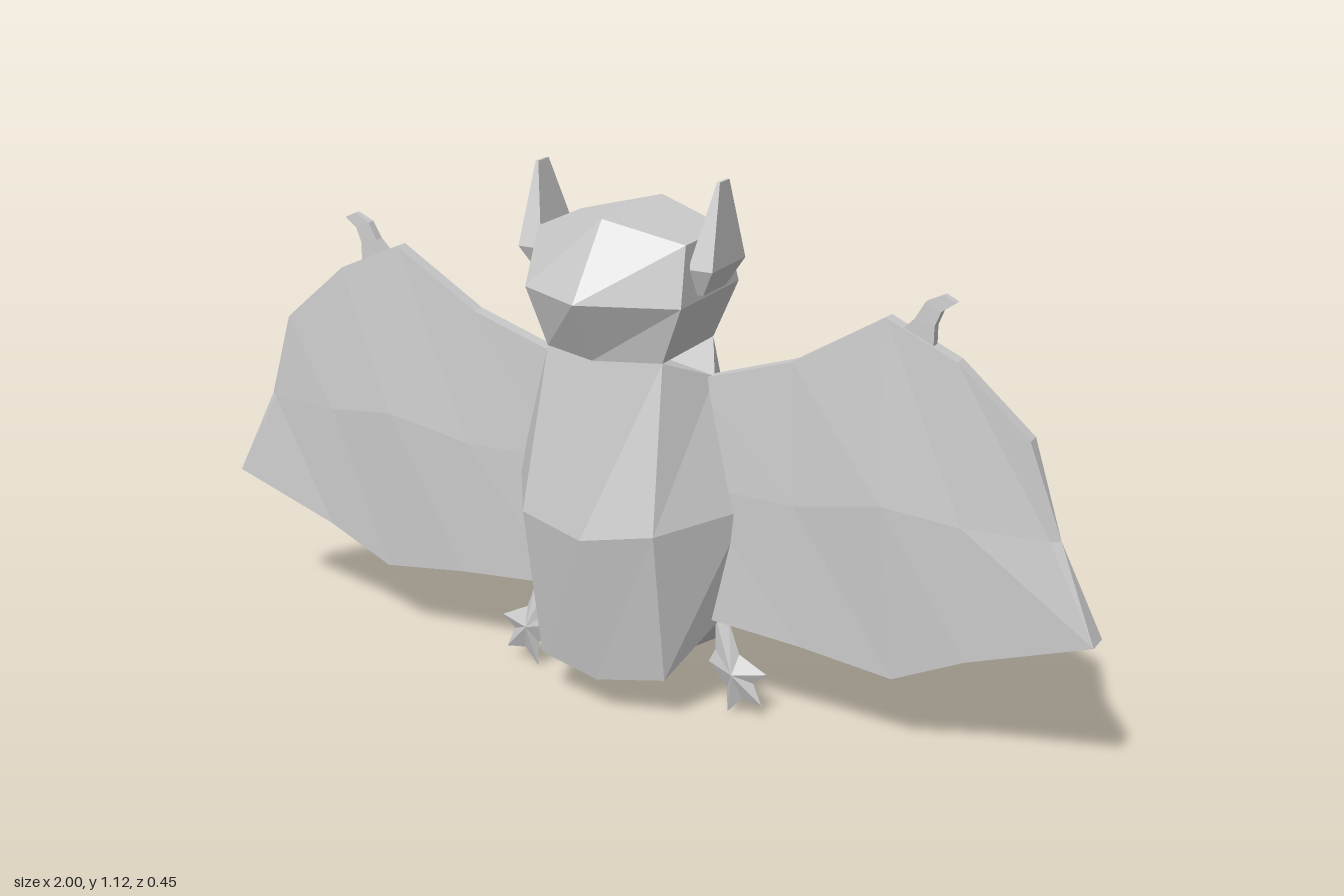
import * as THREE from 'three';

const material = new THREE.MeshStandardMaterial({ color: 0xcccccc, flatShading: true });

// Skins a series of equal-length rings and closes both ends; side -1 mirrors across x.
function loft(name, rings, side = 1) {
  const r = rings.map(ring => {
    const pts = ring.map(([x, y, z]) => new THREE.Vector3(x * side, y, z));
    return side < 0 ? pts.reverse() : pts;
  });
  const out = [];
  const tri = (a, b, c) => {
    const area = b.clone().sub(a).cross(c.clone().sub(a)).length();
    if (area > 1e-8) for (const p of [a, b, c]) out.push(p.x, p.y, p.z);
  };
  const n = r[0].length;
  for (let k = 0; k < r.length - 1; k++) {
    for (let i = 0; i < n; i++) {
      const j = (i + 1) % n;
      tri(r[k][i], r[k][j], r[k + 1][j]);
      tri(r[k][i], r[k + 1][j], r[k + 1][i]);
    }
  }
  for (const [ring, flip] of [[r[0], true], [r[r.length - 1], false]]) {
    const mid = ring.reduce((s, p) => s.add(p), new THREE.Vector3()).divideScalar(n);
    ring.forEach((p, i) => {
      const q = ring[(i + 1) % n];
      flip ? tri(mid, q, p) : tri(mid, p, q);
    });
  }
  const geometry = new THREE.BufferGeometry();
  geometry.setAttribute('position', new THREE.Float32BufferAttribute(out, 3));
  geometry.computeVertexNormals();
  const mesh = new THREE.Mesh(geometry, material);
  mesh.name = name;
  return mesh;
}

// Eight-sided symmetric ring; front and back are [y, z], the others [x, y, z].
function ring8([fy, fz], frontCorner, sidePoint, backCorner, [by, bz]) {
  const half = [frontCorner, sidePoint, backCorner];
  const mirrored = half.map(([x, y, z]) => [-x, y, z]).reverse();
  return [[0, fy, fz], ...half, [0, by, bz], ...mirrored];
}

function createBody() {
  return loft('body', [
    Array(8).fill([0, 0.04, -0.01]),
    ring8([0.085, 0.145], [0.145, 0.105, 0.12], [0.21, 0.21, 0], [0.145, 0.105, -0.13], [0.085, -0.163]),
    ring8([0.415, 0.21], [0.15, 0.44, 0.18], [0.265, 0.46, 0], [0.15, 0.45, -0.197], [0.415, -0.225]),
    ring8([0.775, 0.155], [0.13, 0.775, 0.107], [0.19, 0.73, 0], [0.13, 0.775, -0.11], [0.775, -0.17]),
  ]);
}

function createHead() {
  return loft('head', [
    ring8([0.775, 0.155], [0.13, 0.775, 0.107], [0.13, 0.775, 0], [0.13, 0.775, -0.11], [0.775, -0.17]),
    ring8([0.905, 0.23], [0.175, 0.893, 0.117], [0.175, 0.893, 0], [0.175, 0.893, -0.13], [0.92, -0.198]),
    ring8([1.05, 0.115], [0.165, 1.01, 0.08], [0.165, 1.01, 0], [0.165, 1.01, -0.09], [1.05, -0.13]),
    // roof ridge
    ring8([1.05, 0.11], [0, 1.05, 0.11], [0, 1.05, 0], [0, 1.05, -0.12], [1.05, -0.12]),
  ]);
}

// Rectangle between an inner and an outer point, z half-width w.
const slab = ([x0, y0], [x1, y1], w) => [[x0, y0, w], [x1, y1, w], [x1, y1, -w], [x0, y0, -w]];

function createEar(side) {
  return loft('ear', [
    slab([0.165, 0.905], [0.187, 0.905], 0.048),
    slab([0.165, 0.96], [0.218, 0.96], 0.071),
    slab([0.2, 1.125], [0.206, 1.125], 0.02),
  ], side);
}

function createWing(side) {
  // top, middle and bottom [x, y] of each column, then its bulge in z
  const columns = [
    [[0.15, 0.72], [0.15, 0.5], [0.15, 0.22], 0.025],
    [[0.365, 0.79], [0.38, 0.5], [0.4, 0.2], 0.035],
    [[0.555, 0.905], [0.57, 0.54], [0.6, 0.175], 0.052],
    [[0.7, 0.84], [0.73, 0.52], [0.75, 0.245], 0.036],
    [[0.85, 0.71], [0.9, 0.52], [1.0, 0.33], 0.016],
  ];
  return loft('wing', columns.map(([t, m, b, w]) => [
    [...t, 0.015], [...m, w * 0.87], [...b, 0.025],
    [...b, -0.025], [...m, -w * 1.12], [...t, -0.015],
  ]), side);
}

function createThumb(side) {
  return loft('thumbClaw', [
    slab([0.57, 0.87], [0.65, 0.85], 0.01),
    slab([0.61, 0.91], [0.65, 0.9], 0.01),
    slab([0.63, 0.945], [0.662, 0.93], 0.009),
    slab([0.665, 0.962], [0.69, 0.95], 0.007),
  ], side);
}

function createFoot(side) {
  // clawed outline, thickest at the hub
  const outline = [
    [0.2, 0.21], [0.2, 0.14], [0.185, 0.11], [0.228, 0.06], [0.23, 0.005], [0.262, 0.042],
    [0.308, 0.035], [0.288, 0.082], [0.318, 0.108], [0.255, 0.14], [0.23, 0.21],
  ];
  const hub = z => outline.map(() => [0.248, 0.1, z]);
  return loft('foot', [hub(-0.022), outline.map(([x, y]) => [x, y, 0]), hub(0.022)], side);
}

export function createModel() {
  const model = new THREE.Group();
  model.name = 'bat';
  model.add(createBody(), createHead());
  for (const [side, label] of [[1, 'left'], [-1, 'right']]) {
    for (const create of [createEar, createWing, createThumb, createFoot]) {
      const part = create(side);
      part.name = label + part.name[0].toUpperCase() + part.name.slice(1);
      model.add(part);
    }
  }
  return model;
}
